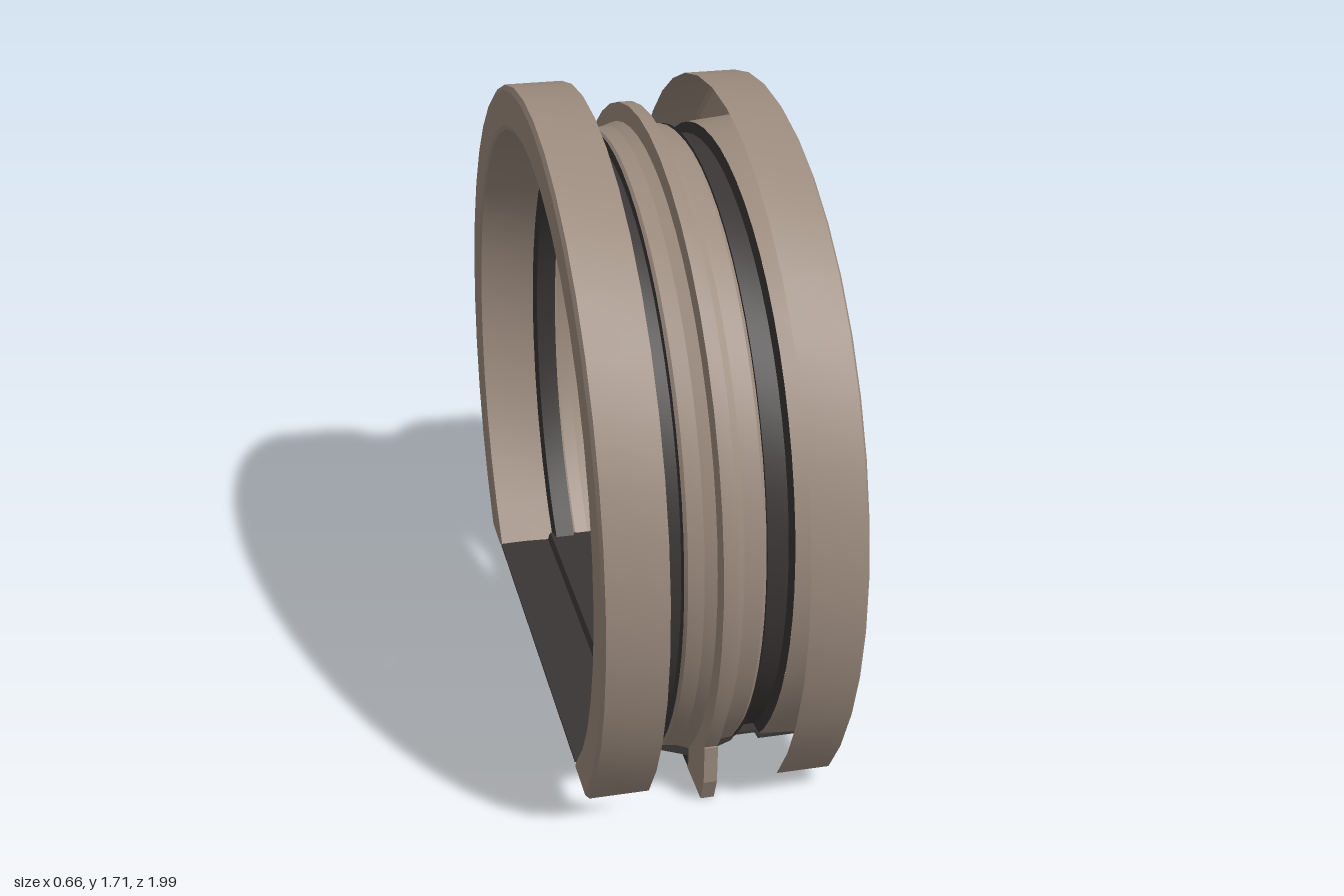
import * as THREE from 'three';

const CY = 0.71; // height of the ring axis

export function createModel() {
  const model = new THREE.Group();
  const tan = new THREE.MeshStandardMaterial({ color: 0x9c8b7e, side: THREE.DoubleSide });
  tan.name = 'warm grey';
  const dark = new THREE.MeshStandardMaterial({ color: 0x3a3635, side: THREE.DoubleSide });
  dark.name = 'charcoal';

  const add = (geometry, material, name) => {
    const mesh = new THREE.Mesh(geometry, material);
    mesh.name = name;
    model.add(mesh);
    return mesh;
  };

  // Open ring swept about the x axis; each profile point is [x, radius, height where it is cut off].
  // Every profile segment gets its own strip, so profile edges stay sharp.
  const ring = (profile, name, material, segments = 30) => {
    const pos = [], index = [];
    for (let p = 0; p < profile.length - 1; p++) {
      const base = pos.length / 3;
      for (let i = 0; i <= segments; i++) {
        for (const [x, r, cut] of [profile[p], profile[p + 1]]) {
          const drop = Math.asin(Math.min(1, (CY - cut) / r));
          const a = -drop + (Math.PI + 2 * drop) * i / segments;
          pos.push(x, CY + r * Math.sin(a), r * Math.cos(a));
        }
      }
      for (let i = 0; i < segments; i++) {
        const k = base + i * 2;
        index.push(k, k + 2, k + 1, k + 1, k + 2, k + 3);
      }
    }
    const g = new THREE.BufferGeometry();
    g.setAttribute('position', new THREE.Float32BufferAttribute(pos, 3));
    g.setIndex(index);
    g.computeVertexNormals();
    return add(g, material, name);
  };

  // Outline in the z-y plane, given a thickness along x
  const plate = (points, thickness, material, name) => {
    const shape = new THREE.Shape(points.map(([z, y]) => new THREE.Vector2(-z, y)));
    const g = new THREE.ExtrudeGeometry(shape, { depth: thickness, bevelEnabled: false });
    g.translate(0, 0, -thickness / 2).rotateY(Math.PI / 2);
    return add(g, material, name);
  };

  for (const s of [-1, 1]) {
    const side = s > 0 ? 'left' : 'right';
    const gIn = s > 0 ? 0.11 : 0.1;
    const gOut = s > 0 ? 0.18 : 0.165;
    const flip = (points) => {
      const list = points.map(([x, r, c]) => [x * s, r, c]);
      return s > 0 ? list : list.reverse();
    };

    // Hollow outer rim
    ring(flip([
      [gOut, 0.865, 0.07], [0.325, 0.878, 0.07], [0.33, 0.89, 0.07],
      [0.33, 0.985, 0.07], [0.322, 0.998, 0.07], [gOut, 0.998, 0.07],
    ].reverse()), side + 'OuterRim', tan);

    // Recessed seal
    ring(flip([
      [gIn, 0.865, 0.08], [gIn, 0.835, 0.095], [gOut - 0.008, 0.835, 0.095], [gOut, 0.865, 0.07],
    ]), side + 'Seal', dark, 48);

    // Half of the middle collar
    ring(flip([
      [0.02, 0.88, 0.045], [0.05, 0.87, 0.06], [gIn - 0.01, 0.865, 0.075], [gIn, 0.855, 0.08],
    ]), side + 'Collar', tan, 48);
  }

  // Thin central flange
  ring([
    [-0.018, 0.87, 0.04], [-0.018, 0.932, 0.03], [0.018, 0.932, 0.03], [0.018, 0.87, 0.04],
  ], 'centreFlange', tan, 36);

  for (const s of [-1, 1]) {
    const end = s > 0 ? 'front' : 'back';

    // Foot of the flange
    plate([[0.59, 0], [0.735, 0], [0.765, 0.07], [0.77, 0.18], [0.69, 0.18], [0.59, 0.07]]
      .map(([z, y]) => [z * s, y]), 0.036, tan, end + 'FlangeFoot');

    // Panel filling the side segment of the ring
    const limit = Math.acos(0.585 / 0.865);
    const arc = [];
    for (let i = 0; i <= 24; i++) {
      const a = -limit + 2 * limit * i / 24;
      arc.push([s * 0.865 * Math.cos(a), CY + 0.865 * Math.sin(a)]);
    }
    plate(arc, 0.012, tan, end + 'SidePanel');

    // Upright door post
    const post = add(new THREE.BoxGeometry(0.036, 1.25, 0.032), dark, end + 'Post');
    post.position.set(0, 0.705, s * 0.581);
  }

  // Floor and threshold, one cross-section run from front to back
  const half = [
    [0.02, 0.01], [0.02, 0.045], [0.1, 0.075], [0.11, 0.09], [0.165, 0.09], [0.175, 0.07],
    [0.328, 0.07], [0.328, 0.077], [0.18, 0.08], [0.17, 0.098], [0.1, 0.098], [0.09, 0.088], [0.02, 0.088],
  ];
  const outline = [...half, ...half.map(([x, y]) => [-x, y]).reverse()];
  const floorShape = new THREE.Shape(outline.map(([x, y]) => new THREE.Vector2(x, y)));
  const floor = new THREE.ExtrudeGeometry(floorShape, { depth: 1.2, bevelEnabled: false });
  floor.translate(0, 0, -0.6);
  add(floor, dark, 'floor');

  return model;
}
